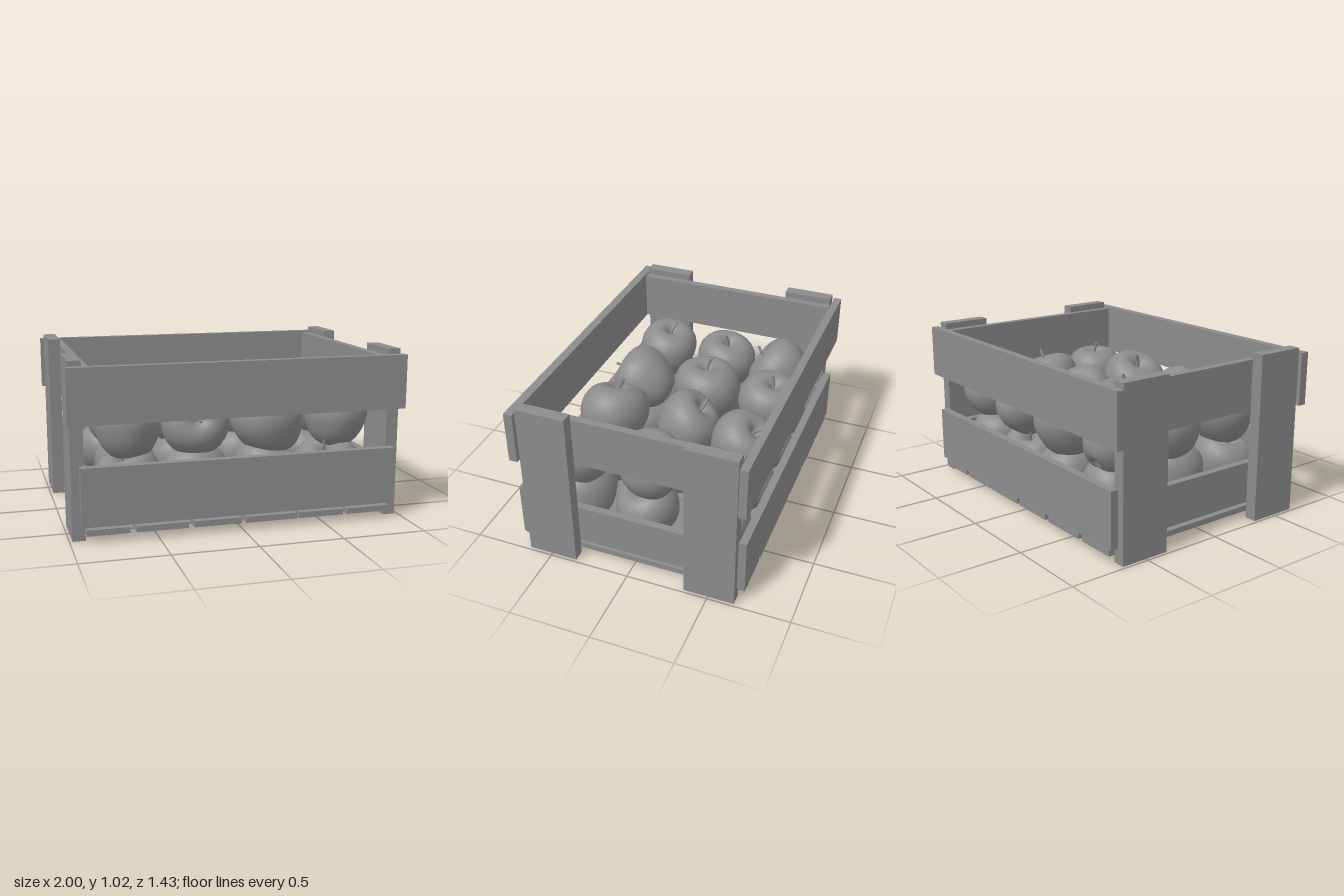
import * as THREE from 'three';
import { mergeVertices } from 'three/addons/utils/BufferGeometryUtils.js';

export function createModel() {
  const model = new THREE.Group();
  model.name = 'appleCrate';
  const grey = new THREE.MeshStandardMaterial({ color: 0x8c8c8c });
  grey.name = 'plainGrey';

  // Plank given by its min and max corners
  function plank(name, x0, x1, y0, y1, z0, z1) {
    const mesh = new THREE.Mesh(new THREE.BoxGeometry(x1 - x0, y1 - y0, z1 - z0), grey);
    mesh.position.set((x0 + x1) / 2, (y0 + y1) / 2, (z0 + z1) / 2);
    mesh.name = name;
    model.add(mesh);
  }

  // Corner posts and end boards, mirrored left and right
  for (const s of [-1, 1]) {
    const side = s > 0 ? 'left' : 'right';
    const across = (name, a, b, ...rest) => plank(name, Math.min(s * a, s * b), Math.max(s * a, s * b), ...rest);
    across(side + 'FrontPost', 0.908, 0.982, 0, 1.017, 0.342, 0.648);
    across(side + 'BackPost', 0.908, 0.982, 0, 1.017, -0.658, -0.352);
    across(side + 'UpperEndBoard', 0.862, 0.908, 0.675, 0.977, -0.66, 0.652);
    across(side + 'LowerEndBoard', 0.862, 0.908, 0.1, 0.352, -0.655, 0.65);
  }

  // Long boards
  plank('frontUpperBoard', -1, 1, 0.666, 0.987, 0.655, 0.708);
  plank('frontLowerBoard', -0.935, 0.945, 0.09, 0.43, 0.65, 0.702);
  plank('backUpperBoard', -1, 1, 0.666, 0.987, -0.715, -0.668);
  plank('backLowerBoard', -0.94, 0.94, 0.09, 0.43, -0.706, -0.66);

  // Floor slats
  const slats = [[-0.91, -0.665], [-0.63, -0.33], [-0.295, -0.015], [0.015, 0.325], [0.335, 0.615], [0.64, 0.91]];
  for (const [a, b] of slats) plank('floorSlat', a, b, 0.045, 0.08, -0.698, 0.715);

  // Apple profile, from the base up into the stem dimple
  const profile = new THREE.SplineCurve([
    [0, -0.78], [0.2, -0.9], [0.48, -0.84], [0.76, -0.55], [0.94, -0.15], [1, 0.18],
    [0.94, 0.52], [0.74, 0.78], [0.46, 0.88], [0.22, 0.8], [0.08, 0.62], [0, 0.55],
  ].map(([x, y]) => new THREE.Vector2(x, y))).getPoints(26);
  profile.forEach((p) => { p.x = Math.max(p.x, 0); });
  profile[0].x = profile[profile.length - 1].x = 0;

  // Slightly lumpy body, different for each seed
  function appleBody(seed) {
    let g = new THREE.LatheGeometry(profile, 24);
    const p = g.attributes.position;
    for (let i = 0; i < p.count; i++) {
      const x = p.getX(i), y = p.getY(i), z = p.getZ(i);
      const a = Math.atan2(z, x);
      const k = 1 + 0.025 * Math.sin(2 * a + seed) + 0.02 * Math.sin(5 * a + seed * 2) * (0.6 - y);
      p.setXYZ(i, x * k, y + 0.06 * x * Math.sin(seed * 3), z * k);
    }
    g.deleteAttribute('uv');
    g.deleteAttribute('normal');
    g = mergeVertices(g, 1e-4);
    g.computeVertexNormals();
    return g;
  }

  const stemGeometry = new THREE.TubeGeometry(new THREE.CatmullRomCurve3([
    new THREE.Vector3(0, 0.48, 0), new THREE.Vector3(0.02, 0.8, 0.01), new THREE.Vector3(0.13, 1.1, 0.05),
  ]), 6, 0.045, 6);
  const stemTip = new THREE.SphereGeometry(0.05, 6, 4).translate(0.13, 1.1, 0.05);

  // Apple at (x, y, z) with radius r, its stem leaning by (dx, dz)
  function apple(name, x, y, z, r, dx, dz, seed) {
    const group = new THREE.Group();
    group.name = name;
    const parts = { appleBody: appleBody(seed), stem: stemGeometry, stemTip };
    for (const [part, geometry] of Object.entries(parts)) {
      const mesh = new THREE.Mesh(geometry, grey);
      mesh.name = part;
      group.add(mesh);
    }
    group.scale.setScalar(r);
    group.position.set(x, y, z);
    const lean = new THREE.Vector3(dx, 0, dz).clampLength(0, 0.93);
    lean.y = Math.sqrt(1 - lean.lengthSq());
    group.quaternion.setFromUnitVectors(new THREE.Vector3(0, 1, 0), lean)
      .multiply(new THREE.Quaternion().setFromAxisAngle(new THREE.Vector3(0, 1, 0), seed * 2.4));
    model.add(group);
  }

  // Upper layer: x, z, radius, stem lean x, stem lean z
  const upper = [
    [-0.62, -0.43, 0.2, 0.05, 0.8], [-0.22, -0.47, 0.2, 0.1, -0.2], [0.25, -0.44, 0.195, 0.1, -0.6], [0.68, -0.42, 0.2, -0.1, -0.5],
    [-0.62, -0.04, 0.195, 0.1, -0.15], [-0.22, -0.05, 0.215, -0.05, 0.05], [0.18, -0.06, 0.195, -0.2, -0.6], [0.65, -0.02, 0.2, 0.2, -0.1],
    [-0.62, 0.39, 0.195, 0, -0.2], [-0.21, 0.38, 0.2, -0.1, 0.92], [0.25, 0.4, 0.215, -0.4, -0.05], [0.68, 0.4, 0.19, 0.05, -0.05],
  ];
  upper.forEach(([x, z, r, dx, dz], i) => apple('upperApple', x, 0.575, z, r, dx, dz, i + 1));

  // Lower layer, slightly shifted under the upper one
  const lower = [
    [-0.6, -0.43], [-0.2, -0.44], [0.22, -0.44], [0.63, -0.43],
    [-0.58, 0.02], [-0.2, 0], [0.2, -0.03], [0.64, 0],
    [-0.61, 0.4], [-0.21, 0.4], [0.23, 0.4], [0.63, 0.42],
  ];
  lower.forEach(([x, z], i) =>
    apple('lowerApple', x, 0.262, z, 0.195, 0.35 * Math.sin(i * 2.1), 0.35 * Math.cos(i * 1.7), i + 13));

  return model;
}
